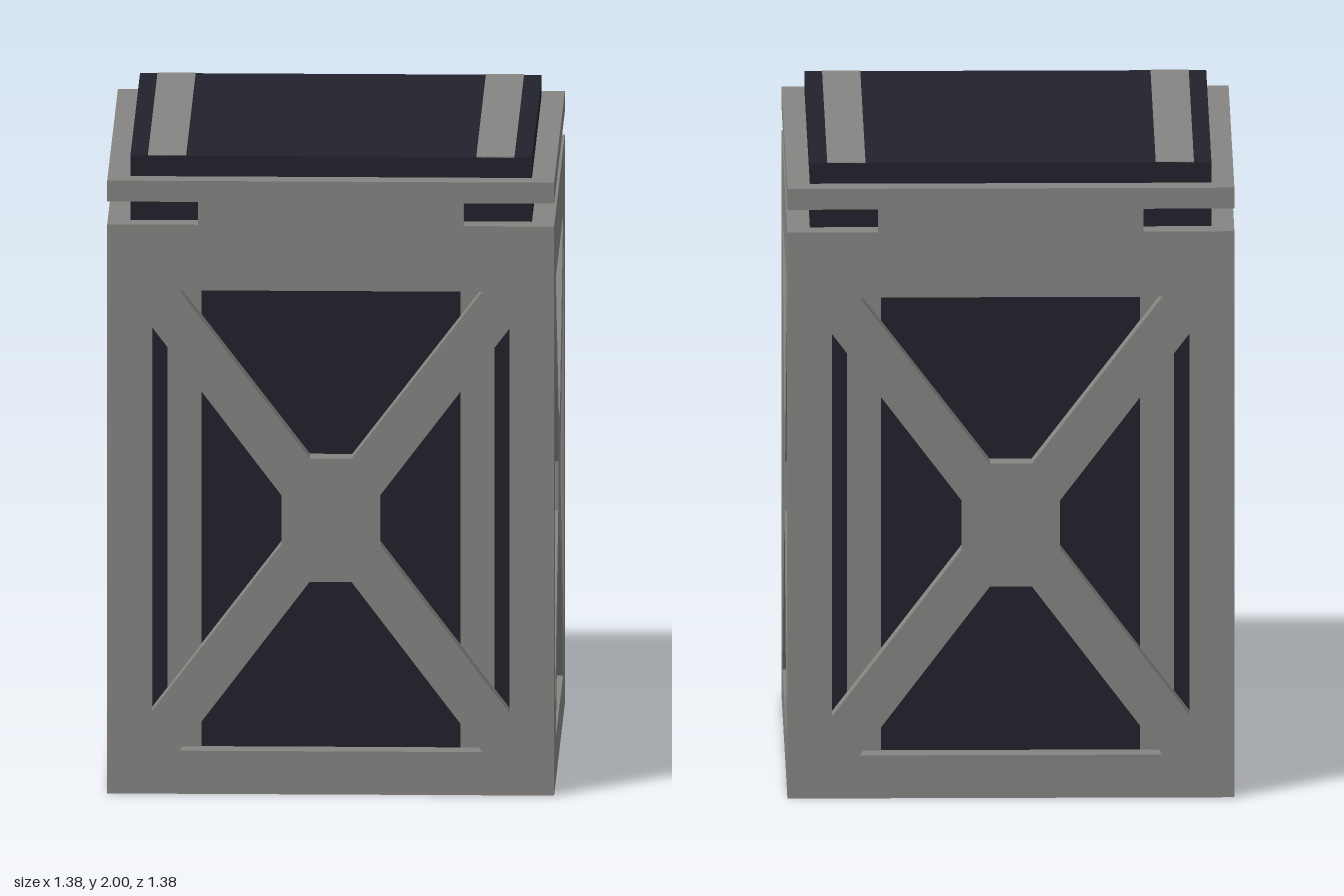
import * as THREE from 'three';

const OUT = 0.69, IN = 0.62, WALL = OUT - IN;

const frameGrey = new THREE.MeshStandardMaterial({ color: 0x878582 });
frameGrey.name = 'frame grey';
const coreNavy = new THREE.MeshStandardMaterial({ color: 0x22222d });
coreNavy.name = 'core navy';

function polygon(points, Type = THREE.Path) {
  return new Type(points.map(([x, y]) => new THREE.Vector2(x, y)));
}

// Four openings that leave an X-shaped brace with a chamfered hub
function braceHoles() {
  const holes = [
    [[-0.468, 1.588], [0.468, 1.588], [0.065, 1.06], [-0.065, 1.06]],
    [[-0.468, 0.136], [-0.065, 0.67], [0.065, 0.67], [0.468, 0.136]],
  ];
  for (const s of [-1, 1]) {
    holes.push([[s * 0.552, 1.472], [s * 0.152, 0.943], [s * 0.152, 0.787], [s * 0.552, 0.26]]);
  }
  return holes.map((h) => polygon(h));
}

// Wall standing at the front, its outer face at z = OUT
function wallGeometry(outline) {
  const shape = polygon(outline, THREE.Shape);
  shape.holes.push(...braceHoles());
  const geo = new THREE.ExtrudeGeometry(shape, { depth: WALL, bevelEnabled: false });
  return geo.translate(0, 0, IN);
}

export function createModel() {
  const model = new THREE.Group();
  model.name = 'crate';

  const add = (name, geo, mat, parent = model) => {
    const mesh = new THREE.Mesh(geo, mat);
    mesh.name = name;
    parent.add(mesh);
    return mesh;
  };
  const box = (name, size, pos, mat, parent) => {
    const mesh = add(name, new THREE.BoxGeometry(...size), mat, parent);
    mesh.position.set(...pos);
    return mesh;
  };

  // Front and back walls rise through a central tab into the lid rim
  const half = [[OUT, 0], [OUT, 1.795], [0.41, 1.795], [0.41, 1.867], [OUT, 1.867], [OUT, 1.933]];
  const tabbed = wallGeometry([...half, ...half.map(([x, y]) => [-x, y]).reverse()]);
  const plain = wallGeometry([[-IN, 0], [IN, 0], [IN, 1.795], [-IN, 1.795]]);

  ['front', 'left', 'back', 'right'].forEach((side, i) => {
    const group = new THREE.Group();
    group.name = side + 'Side';
    group.rotation.y = i * Math.PI / 2;
    model.add(group);
    add('bracedWall', i % 2 ? plain : tabbed, frameGrey, group);
    if (i % 2) box('lidRim', [2 * IN, 0.066, WALL], [0, 1.9, (OUT + IN) / 2], frameGrey, group);
    // Painted stripes on the core behind the brace
    for (const s of [-1, 1]) {
      box('coreStripe', [0.105, 1.6, 0.008], [s * 0.4525, 0.87, IN], frameGrey, group);
    }
  });

  // Floor and inner core
  box('floor', [2 * IN, 0.07, 2 * IN], [0, 0.035, 0], frameGrey);
  box('core', [2 * IN, 1.928, 2 * IN], [0, 1.034, 0], coreNavy);

  // Painted stripes on the lid
  for (const s of [-1, 1]) {
    box('lidStripe', [0.118, 0.004, 2 * IN], [s * 0.507, 1.998, 0], frameGrey);
  }
  return model;
}
